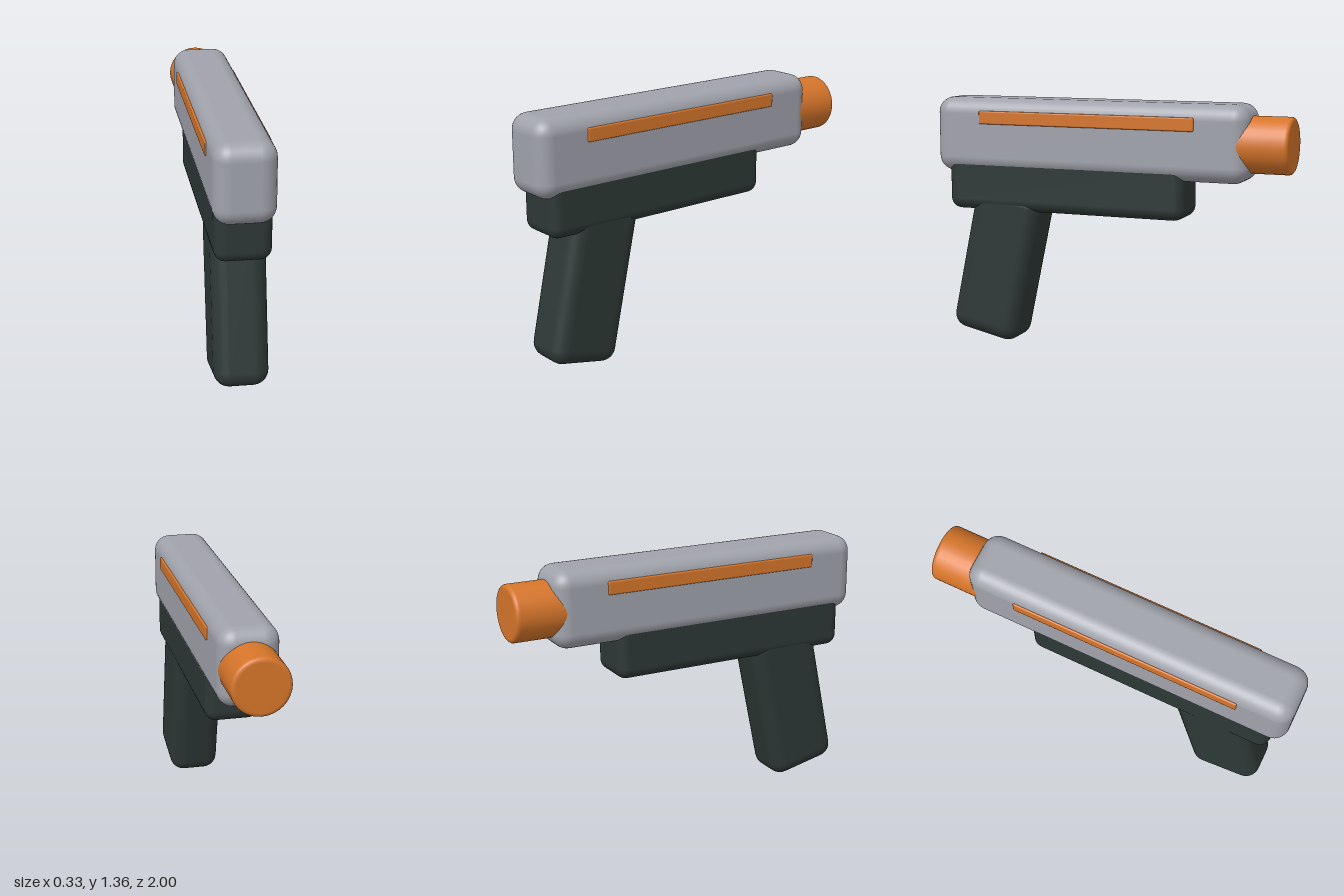
import * as THREE from 'three';
import { RoundedBoxGeometry } from 'three/addons/geometries/RoundedBoxGeometry.js';

function material(name, color) {
  const m = new THREE.MeshStandardMaterial({ color });
  m.name = name;
  return m;
}

export function createModel() {
  const grey = material('light grey', 0xa0a2ab);
  const dark = material('dark green grey', 0x2d3836);
  const orange = material('orange', 0xd6752a);
  const model = new THREE.Group();
  model.name = 'toyBlaster';

  function add(name, geometry, mat, x, y, z) {
    const mesh = new THREE.Mesh(geometry, mat);
    mesh.name = name;
    mesh.position.set(x, y, z);
    model.add(mesh);
    return mesh;
  }

  // Upper body
  add('slide', new RoundedBoxGeometry(0.31, 0.41, 1.79, 4, 0.085), grey, 0, 1.16, 0.105);

  // Lower frame, its top sunk into the slide
  add('frame', new RoundedBoxGeometry(0.286, 0.315, 1.375, 4, 0.06), dark, 0, 0.9025, 0.2425);

  // Slanted handle, its top sunk into the frame
  const grip = add('grip', new RoundedBoxGeometry(0.278, 0.86, 0.406, 4, 0.08), dark, 0, 0.448, 0.656);
  grip.rotation.x = -0.21;

  // Muzzle with a softened rim, turned to point along -z
  const r = 0.15, b = 0.02, length = 0.4;
  const profile = [new THREE.Vector2(0, 0), new THREE.Vector2(r, 0), new THREE.Vector2(r, 0.01), new THREE.Vector2(r, length - b - 0.005)];
  for (let i = 0; i <= 4; i++) {
    const a = (i / 4) * Math.PI / 2;
    profile.push(new THREE.Vector2(r - b + b * Math.cos(a), length - b + b * Math.sin(a)));
  }
  profile.push(new THREE.Vector2(r - b - 0.005, length), new THREE.Vector2(0, length));
  const muzzle = add('muzzle', new THREE.LatheGeometry(profile, 32), orange, 0, 1.155, -0.6);
  muzzle.rotation.x = -Math.PI / 2;

  // Side stripes
  for (const side of [-1, 1]) {
    const name = side > 0 ? 'leftStripe' : 'rightStripe';
    add(name, new RoundedBoxGeometry(0.03, 0.072, 1.23, 2, 0.008), orange, side * 0.148, 1.261, 0.107);
  }

  return model;
}
